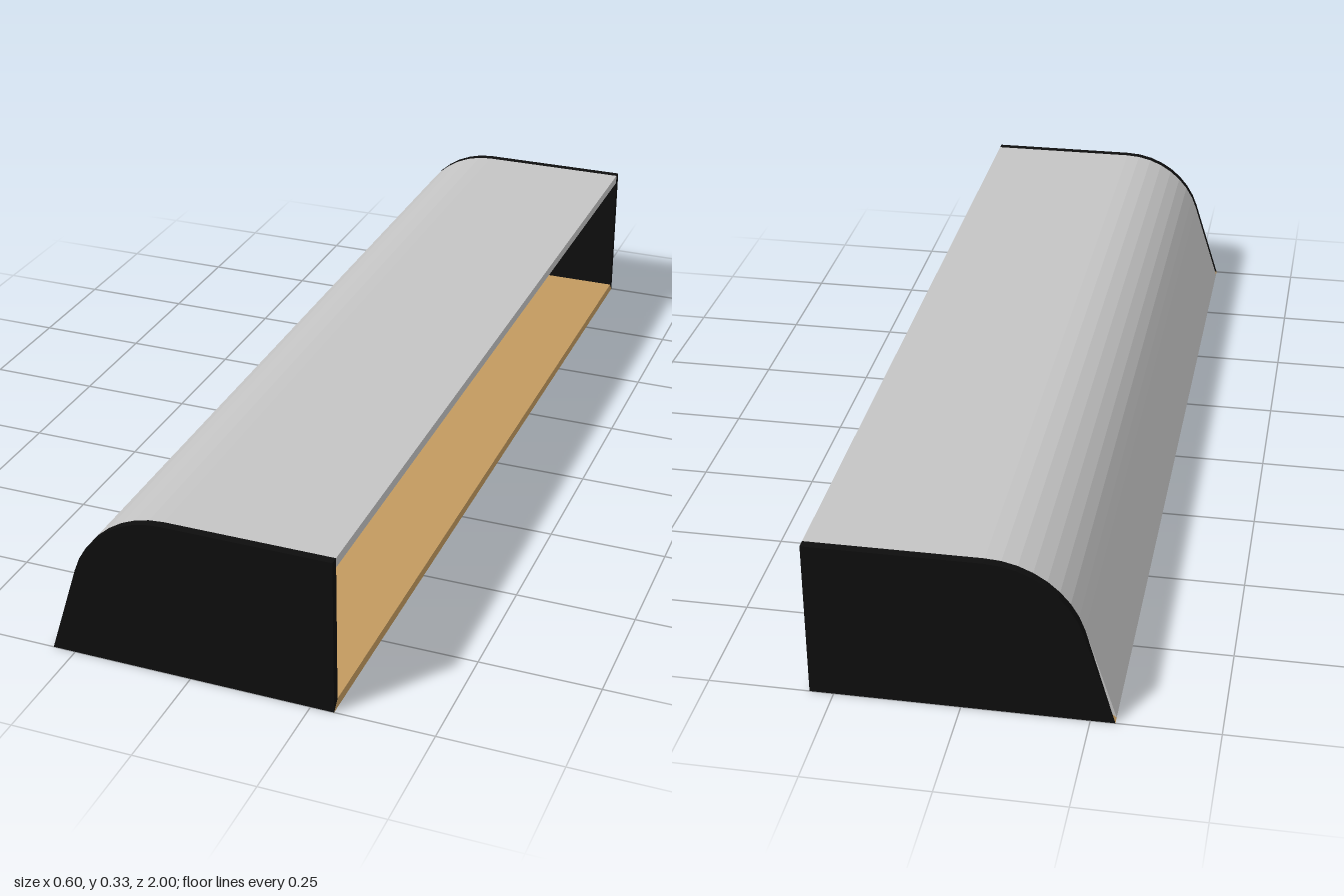
import * as THREE from 'three';

const W = 0.298, H = 0.333, L = 1, T = 0.02, END = 0.018; // half width, height, half length, thicknesses
const R = 0.197, CX = -0.048, CY = H - R;                 // rounded shoulder
const A0 = Math.PI - 0.298, STEPS = 8;                    // shoulder starts where the sloped wall ends
const INNER_X = -0.271;                                   // inside foot of the sloped wall

// points along the shoulder, from the sloped wall up to the flat top
function shoulder(r) {
  return Array.from({ length: STEPS + 1 }, (_, i) => {
    const a = A0 + (Math.PI / 2 - A0) * (i / STEPS);
    return new THREE.Vector2(CX + r * Math.cos(a), CY + r * Math.sin(a));
  });
}

function extrude(points, depth, z) {
  const g = new THREE.ExtrudeGeometry(new THREE.Shape(points), { depth, bevelEnabled: false });
  return g.translate(0, 0, z);
}

// move vertices by a rule, then refresh flat normals
function reshape(geometry, rule) {
  const p = geometry.attributes.position, v = new THREE.Vector3();
  for (let i = 0; i < p.count; i++) {
    rule(v.fromBufferAttribute(p, i));
    p.setXYZ(i, v.x, v.y, v.z);
  }
  geometry.computeVertexNormals();
  return geometry;
}

export function createModel() {
  const model = new THREE.Group();
  const material = (name, color) => {
    const m = new THREE.MeshStandardMaterial({ color });
    m.name = name;
    return m;
  };
  const grey = material('light grey', 0xc4c4c4);
  const black = material('black', 0x0d0d0d);
  const tan = material('tan wood', 0xc29a5f);
  const add = (name, geometry, mat) => {
    const mesh = new THREE.Mesh(geometry, mat);
    mesh.name = name;
    model.add(mesh);
  };
  const P = (x, y) => new THREE.Vector2(x, y);

  // curved cover: sloped wall, shoulder and flat top, open on the +x side
  const cover = [
    P(-W, 0), ...shoulder(R), P(W, H), P(W, H - T),
    ...shoulder(R - T).reverse(), P(INNER_X, T),
  ];
  add('cover', extrude(cover, 2 * (L - END), -(L - END)), grey);

  // floor board, mitred against the wall and both ends
  const floor = new THREE.BoxGeometry(2 * W, T, 2 * L).translate(0, T / 2, 0).toNonIndexed();
  add('floor', reshape(floor, v => {
    if (v.y > T / 2) {
      v.z = Math.sign(v.z) * (L - END);
      if (v.x < 0) v.x = INNER_X;
    }
  }), tan);

  // end panels, with the inner bottom edge raised to meet the mitred floor
  const profile = [P(-W, 0), ...shoulder(R), P(W, H), P(W, 0)];
  for (const side of [1, -1]) {
    const panel = extrude(profile, END, side > 0 ? L - END : -L);
    add(side > 0 ? 'frontEndPanel' : 'backEndPanel', reshape(panel, v => {
      if (v.y < 0.001 && Math.abs(v.z) < L - END / 2) {
        v.y = T;
        if (v.x < 0) v.x = INNER_X;
      }
    }), black);
  }
  return model;
}
